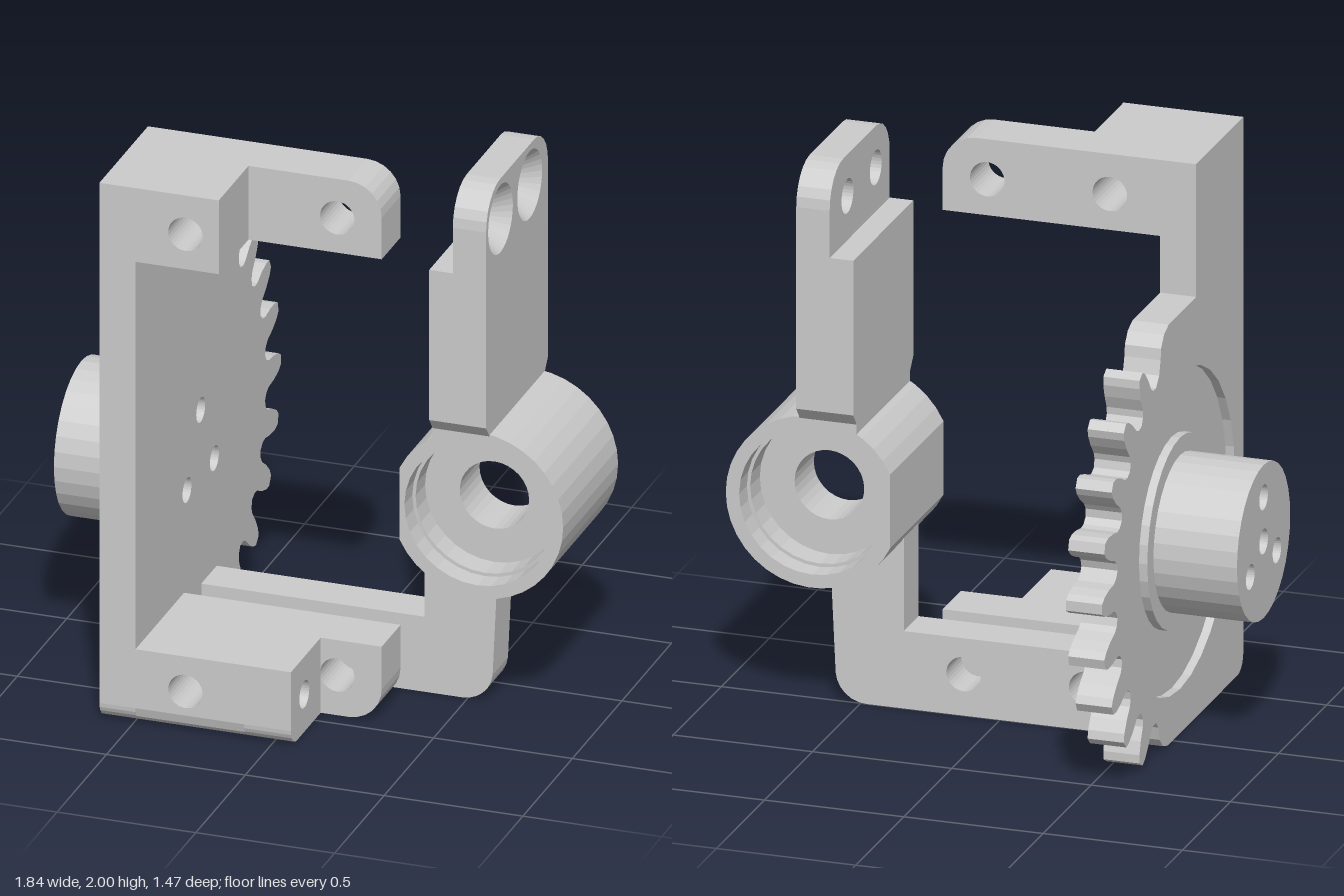
import * as THREE from 'three';

const mat = new THREE.MeshStandardMaterial({ color: 0xcccccc, flatShading: true, side: THREE.DoubleSide });

export function createModel() {
  const model = new THREE.Group();

  const add = (name, geo) => {
    const mesh = new THREE.Mesh(geo, mat);
    mesh.name = name;
    model.add(mesh);
    return mesh;
  };
  const withHoles = (shape, holes) => {
    for (const [x, y, r] of holes) shape.holes.push(new THREE.Path().absarc(x, y, r, 0, Math.PI * 2, true));
    return shape;
  };
  const poly = (pts, holes = []) => withHoles(new THREE.Shape(pts.map(p => new THREE.Vector2(...p))), holes);
  const disc = (x, y, r, holes = []) => withHoles(new THREE.Shape().absarc(x, y, r, 0, Math.PI * 2), holes);
  const rect = (x0, y0, x1, y1, holes) => poly([[x0, y0], [x1, y0], [x1, y1], [x0, y1]], holes);
  const extrude = (shape, depth, steps = 1) =>
    new THREE.ExtrudeGeometry(shape, { depth, steps, bevelEnabled: false, curveSegments: 16 });
  // Shapes for alongX are drawn in (-z, y)
  const alongZ = (name, shape, z0, z1) => add(name, extrude(shape, z1 - z0).translate(0, 0, z0));
  const alongX = (name, shape, x0, x1) => add(name, extrude(shape, x1 - x0).rotateY(Math.PI / 2).translate(x0, 0, 0));
  // Points of a rounded corner
  const corner = (cx, cy, r, a0, a1, n = 6) => Array.from({ length: n + 1 }, (_, i) => {
    const a = THREE.MathUtils.degToRad(a0 + (a1 - a0) * i / n);
    return [cx + r * Math.cos(a), cy + r * Math.sin(a)];
  });

  // Side plate with a sector of gear teeth
  const gu = -0.077, gv = 0.73;
  const polar = (r, deg) => {
    const a = THREE.MathUtils.degToRad(deg);
    return [gu + r * Math.cos(a), gv + r * Math.sin(a)];
  };
  const flank = [[0.668, 5.2], [0.69, 4.1], [0.74, 3.5], [0.785, 2.5], [0.81, 1.3]];
  const teeth = [];
  for (let t = -60; t <= 60; t += 15) {
    teeth.push(polar(0.655, t - 7.5));
    for (const [r, a] of flank) teeth.push(polar(r, t - a));
    for (const [r, a] of [...flank].reverse()) teeth.push(polar(r, t + a));
  }
  teeth.push(polar(0.655, 67.5));
  const outline = [
    ...corner(-0.675, 0.06, 0.06, 180, 270), [0.05, 0], [0.1, 0.015], [0.135, 0.05], [0.15, 0.1],
    ...teeth,
    [0.14, 1.37], [0.125, 1.42], [0.12, 1.46], [0.09, 1.5], [0.04, 1.52],
    [-0.245, 1.52], [-0.245, 2], [-0.735, 2],
  ];
  const boltHoles = [90, 210, 330].map(a => [...polar(0.16, a), 0.045]);
  alongX('gearPlate', poly(outline, boltHoles), -0.59, -0.49);
  alongX('gearPlateRim', poly(outline, [[gu, gv, 0.57]]), -0.62, -0.59);
  alongX('hubCollar', disc(gu, gv, 0.34, boltHoles), -0.62, -0.59);
  alongX('hub', disc(gu, gv, 0.277, boltHoles), -0.8, -0.62);
  alongX('hubEnd', disc(gu, gv, 0.277, [...boltHoles, [gu, gv, 0.045]]), -0.92, -0.8);

  // Upper frame arm
  const hx = [-0.31, 0.13], hr = 0.062;
  alongZ('upperArm', poly([[-0.49, 1.725], [0.29, 1.725], ...corner(0.17, 1.88, 0.12, 0, 90), [-0.49, 2]],
    hx.map(x => [x, 1.855, hr])), 0.245, 0.435);
  alongZ('upperBlock', rect(-0.49, 1.725, -0.19, 2, [[hx[0], 1.855, hr]]), 0.435, 0.735);

  // Lower frame arm, its front block rounded along the bottom edge
  alongZ('lowerArm', poly([[-0.49, 0], ...corner(0.17, 0.12, 0.12, 270, 360), [0.29, 0.28], [-0.49, 0.28]],
    hx.map(x => [x, 0.15, hr])), 0.245, 0.435);
  const blockShape = rect(-0.49, 0, -0.1, 0.28, [[hx[0], 0.15, hr]]);
  alongZ('lowerBlock', blockShape, 0.435, 0.675);
  const nose = extrude(blockShape, 0.06, 6);
  const p = nose.attributes.position;
  for (let i = 0; i < p.count; i++) {
    if (p.getY(i) < 0.001) p.setY(i, 0.06 - Math.sqrt(Math.max(0, 0.0036 - p.getZ(i) ** 2)));
  }
  nose.computeVertexNormals();
  add('lowerBlockNose', nose.translate(0, 0, 0.675));
  alongX('lowerBlockEnd', poly([...corner(-0.675, 0.06, 0.06, 180, 270), [-0.435, 0], [-0.435, 0.28], [-0.735, 0.28]],
    [[-0.6, 0.14, 0.05]]), -0.1, 0.07);

  // Bent arm under the barrel
  alongZ('barrelArm', poly([
    ...corner(-0.34, 0.12, 0.12, 180, 270), ...corner(0.48, 0.11, 0.11, 270, 355),
    [0.608, 0.5], [0.6, 0.56], [0.345, 0.65], [0.345, 0.28], [-0.46, 0.28],
  ], hx.map(x => [x, 0.15, hr])), 0, 0.155);

  // Barrel with a flat side and a stepped bore at both ends
  const bx = 0.605, by = 0.785, flat = Math.acos(0.28 / 0.31);
  const bore = [[-0.2, -0.12, 0.262], [-0.12, -0.02, 0.25], [-0.02, 0.18, 0.125], [0.18, 0.275, 0.25], [0.275, 0.355, 0.262]];
  for (const [z0, z1, r] of bore) {
    const ring = new THREE.Shape().absarc(bx, by, 0.31, Math.PI + flat, 3 * Math.PI - flat);
    alongZ('barrel', withHoles(ring, [[bx, by, r]]), z0, z1);
  }

  // Upright above the barrel, thick below and thin at the top
  const foot = [[-0.39, 1.13], [-0.355, 1.085], [-0.355, 1.05], [0.2, 1.05], [0.2, 1.085], [0.235, 1.13]];
  alongX('uprightBack', poly([...foot, [0.235, 1.69], [-0.39, 1.69]]), 0.445, 0.53);
  const tab = r => poly([...foot, ...corner(0.095, 1.86, 0.14, 0, 90), ...corner(-0.25, 1.86, 0.14, 90, 180)],
    [-0.245, 0.05].map(u => [u, 1.85, r]));
  alongX('upright', tab(hr), 0.53, 0.57);
  alongX('uprightFace', tab(0.125), 0.57, 0.65);
  for (const z of [0.245, -0.05]) {
    add('countersink', new THREE.CylinderGeometry(hr, 0.125, 0.08, 32, 1, true)
      .rotateZ(Math.PI / 2).translate(0.61, 1.85, z));
  }
  return model;
}
